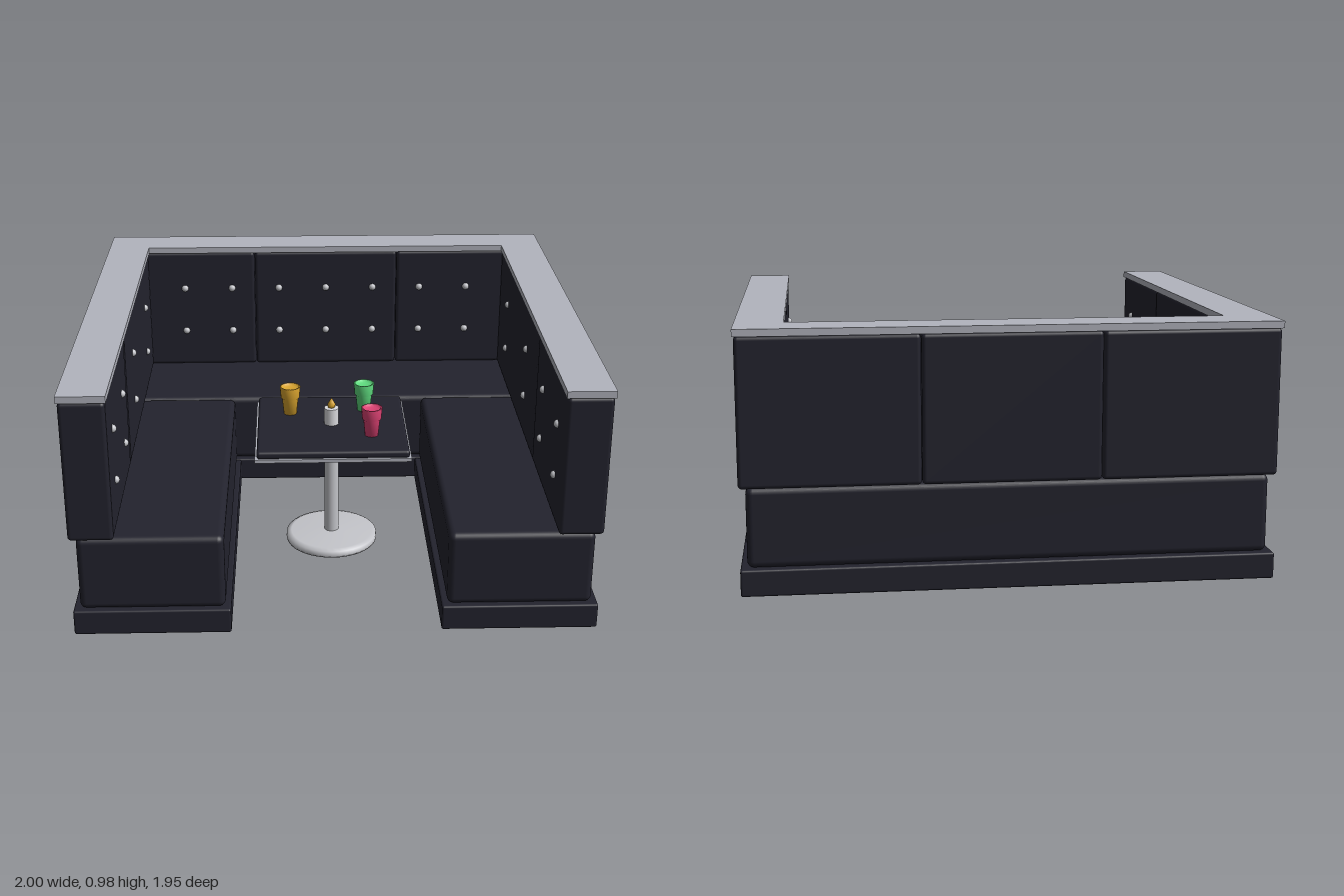
import * as THREE from 'three';
import { RoundedBoxGeometry } from 'three/addons/geometries/RoundedBoxGeometry.js';

const mat = (name, color) => new THREE.MeshStandardMaterial({ name, color });

export function createModel() {
  const leather = mat('dark leather', 0x23232e);
  const trim = mat('grey trim', 0xb2b4be);
  const metal = mat('polished metal', 0xc4c5ca);
  const wax = mat('white wax', 0xdcdce0);
  const gold = mat('gold', 0xdaa52f);
  const green = mat('green', 0x5fdc7f);
  const pink = mat('pink', 0xdc4273);

  const model = new THREE.Group();
  model.name = 'boothSeating';

  function add(name, geometry, material, x = 0, y = 0, z = 0) {
    const mesh = new THREE.Mesh(geometry, material);
    mesh.name = name;
    mesh.position.set(x, y, z);
    model.add(mesh);
    return mesh;
  }

  // Rounded block given by its minimum and maximum on each axis
  function block(name, [x0, x1], [y0, y1], [z0, z1], radius, material = leather) {
    const geometry = new RoundedBoxGeometry(x1 - x0, y1 - y0, z1 - z0, 3, radius);
    return add(name, geometry, material, (x0 + x1) / 2, (y0 + y1) / 2, (z0 + z1) / 2);
  }

  // Back run: plinth, seat and three backrest panels
  block('backPlinth', [-0.995, 0.995], [0, 0.1], [-0.97, -0.355], 0.008);
  block('backSeat', [-0.97, 0.97], [0.1, 0.4], [-0.95, -0.37], 0.025);
  for (let i = -1; i <= 1; i++) {
    block('backPanel', [i * 0.664 - 0.331, i * 0.664 + 0.331], [0.4, 0.953], [-0.97, -0.8], 0.015);
  }

  // Side runs, mirrored
  for (const s of [-1, 1]) {
    const side = s < 0 ? 'right' : 'left';
    const span = (a, b) => (s > 0 ? [a, b] : [-b, -a]);
    block(side + 'Plinth', span(0.4, 0.995), [0, 0.1], [-0.355, 0.97], 0.008);
    block(side + 'Seat', span(0.42, 0.97), [0.1, 0.4], [-0.37, 0.955], 0.025);
    block(side + 'RearPanel', span(0.825, 0.995), [0.4, 0.953], [-0.8, 0.31], 0.015);
    block(side + 'FrontPanel', span(0.825, 0.995), [0.4, 0.953], [0.31, 0.97], 0.015);
  }

  // U-shaped capping rail
  const outline = [[-1, -0.97], [-0.82, -0.97], [-0.82, 0.795], [0.82, 0.795],
    [0.82, -0.97], [1, -0.97], [1, 0.975], [-1, 0.975]];
  const rail = new THREE.Shape(outline.map(([x, y]) => new THREE.Vector2(x, y)));
  const railGeometry = new THREE.ExtrudeGeometry(rail, { depth: 0.027, bevelEnabled: false });
  railGeometry.rotateX(-Math.PI / 2);
  add('cappingRail', railGeometry, trim, 0, 0.953, 0);

  // Tufting buttons in two rows
  const button = new THREE.SphereGeometry(0.016, 12, 8);
  for (const y of [0.57, 0.78]) {
    for (let i = -3; i <= 3; i++) add('button', button, metal, i * 0.22, y, -0.8);
    for (const s of [-1, 1]) {
      for (const z of [-0.53, 0.03, 0.47, 0.8]) add('button', button, metal, s * 0.825, y, z);
    }
  }

  // Table: foot, pole, metal edge plate and padded top
  const tz = 0.21;
  const foot = [[0, 0], [0.19, 0], [0.192, 0.008], [0.19, 0.027], [0.17, 0.034], [0.03, 0.04], [0, 0.04]];
  const lathe = (points, n = 32) =>
    new THREE.LatheGeometry(points.map(([x, y]) => new THREE.Vector2(x, y)), n);
  add('tableFoot', lathe(foot, 40), metal, 0, 0, tz);
  add('tablePole', new THREE.CylinderGeometry(0.03, 0.03, 0.46, 24), metal, 0, 0.265, tz);
  add('tableEdge', new THREE.BoxGeometry(0.625, 0.014, 0.585), trim, 0, 0.495, tz);
  block('tableTop', [-0.305, 0.305], [0.499, 0.53], [-0.075, 0.495], 0.012);

  // Tumblers with a wider rim band
  const cup = [[0, 0], [0.027, 0], [0.034, 0.068], [0.039, 0.073], [0.043, 0.12], [0.036, 0.12], [0.032, 0.108], [0, 0.108]];
  const cupGeometry = lathe(cup, 20);
  add('goldCup', cupGeometry, gold, -0.17, 0.53, 0.1);
  add('greenCup', cupGeometry, green, 0.14, 0.53, 0.07);
  add('pinkCup', cupGeometry, pink, 0.16, 0.53, 0.33);

  // Candle with flame
  add('candle', new THREE.CylinderGeometry(0.03, 0.03, 0.07, 20), wax, 0, 0.565, tz);
  const flame = [[0, 0], [0.014, 0.004], [0.017, 0.016], [0.01, 0.03], [0, 0.046]];
  add('flame', lathe(flame, 12), gold, 0, 0.598, tz);

  return model;
}
